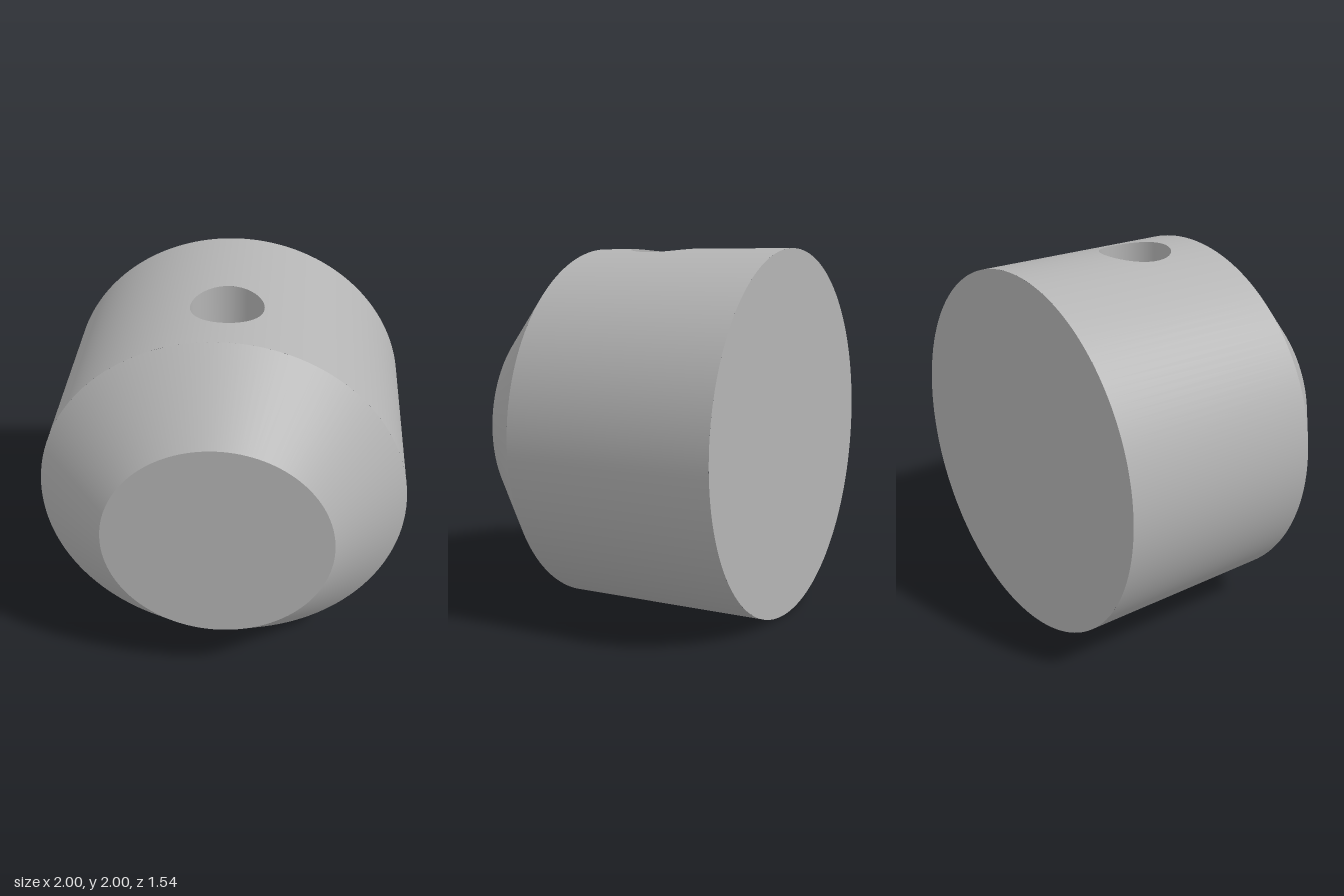
import * as THREE from 'three';

const R = 1, FACE_R = 0.615, HOLE_R = 0.195;
const BACK = -0.77, SHOULDER = 0.385, FRONT = 0.77;
const HALF = Math.PI / 8; // half angle of the wall patch that holds each hole

// Curved wall patch with a round hole, bent around the z axis at the top
function holedPatch() {
  const n = 32, rings = 12;
  const corners = [[HALF, BACK], [HALF, SHOULDER], [-HALF, SHOULDER], [-HALF, BACK]];
  const outline = [];
  corners.forEach(([u0, z0], k) => {
    const [u1, z1] = corners[(k + 1) % 4];
    for (let i = 0; i < n; i++) outline.push([u0 + (u1 - u0) * i / n, z0 + (z1 - z0) * i / n]);
  });
  const pos = [], nor = [], idx = [], count = outline.length;
  for (let r = 0; r <= rings; r++) {
    for (const [u, z] of outline) {
      const t = Math.atan2(z, u);
      const a = THREE.MathUtils.lerp(Math.asin(HOLE_R * Math.cos(t)), u, r / rings);
      const w = THREE.MathUtils.lerp(HOLE_R * Math.sin(t), z, r / rings);
      pos.push(R * Math.sin(a), R * Math.cos(a), w);
      nor.push(Math.sin(a), Math.cos(a), 0);
    }
  }
  for (let r = 0; r < rings; r++) {
    for (let i = 0; i < count; i++) {
      const j = (i + 1) % count, a = r * count, b = a + count;
      idx.push(a + i, a + j, b + i, a + j, b + j, b + i);
    }
  }
  const g = new THREE.BufferGeometry();
  g.setAttribute('position', new THREE.Float32BufferAttribute(pos, 3));
  g.setAttribute('normal', new THREE.Float32BufferAttribute(nor, 3));
  g.setIndex(idx);
  return g;
}

// Inward-facing bore whose ends follow the curved wall
function boreGeometry() {
  const g = new THREE.LatheGeometry([new THREE.Vector2(HOLE_R, 1), new THREE.Vector2(HOLE_R, -1)], 96);
  const p = g.attributes.position;
  for (let i = 0; i < p.count; i++) p.setY(i, Math.sign(p.getY(i)) * Math.sqrt(R * R - p.getX(i) ** 2));
  return g;
}

export function createModel() {
  const model = new THREE.Group();
  model.name = 'chamferedCollar';
  const metal = new THREE.MeshStandardMaterial({ color: 0xb4b4b4 });
  metal.name = 'grey metal';
  const body = new THREE.Group();
  body.name = 'body';
  body.position.y = R;
  model.add(body);
  const add = (name, geometry) => {
    const mesh = new THREE.Mesh(geometry, metal);
    mesh.name = name;
    body.add(mesh);
    return mesh;
  };

  // Side walls and holed patches
  const length = SHOULDER - BACK;
  [['leftWall', HALF], ['rightWall', Math.PI + HALF]].forEach(([name, start]) => {
    const g = new THREE.CylinderGeometry(R, R, length, 56, 1, true, start, Math.PI - 2 * HALF);
    add(name, g.rotateX(Math.PI / 2).translate(0, 0, (BACK + SHOULDER) / 2));
  });
  const patch = holedPatch();
  add('topWall', patch);
  add('bottomWall', patch).rotation.z = Math.PI;

  // Vertical through hole
  add('crossHole', boreGeometry());

  // Conical chamfer and flat ends
  const chamfer = new THREE.CylinderGeometry(FACE_R, R, FRONT - SHOULDER, 128, 1, true);
  add('chamfer', chamfer.rotateX(Math.PI / 2).translate(0, 0, (SHOULDER + FRONT) / 2));
  add('frontFace', new THREE.CircleGeometry(FACE_R, 128).translate(0, 0, FRONT));
  add('backFace', new THREE.CircleGeometry(R, 128).rotateY(Math.PI).translate(0, 0, BACK));
  return model;
}
